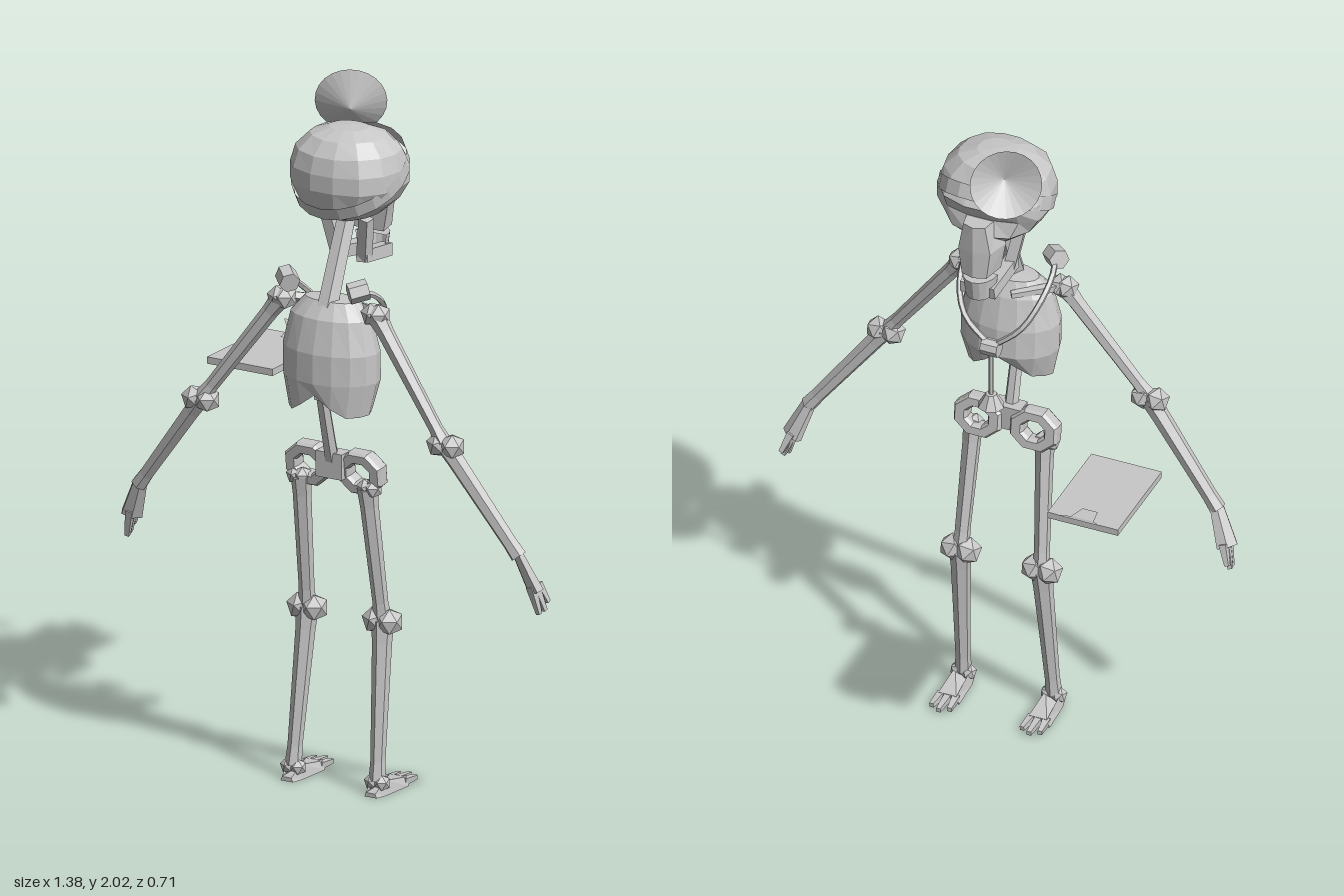
import * as THREE from 'three';

const bone = new THREE.MeshStandardMaterial({ color: 0xc8c8c8, flatShading: true, side: THREE.DoubleSide });
bone.name = 'bone grey';
const V = (p) => new THREE.Vector3(...p);
const flip = (p, s) => [p[0] * s, p[1], p[2]];

export function createModel() {
  const model = new THREE.Group();
  model.name = 'skeletonDoctor';

  const add = (name, geo, pos = [0, 0, 0], rot = [0, 0, 0]) => {
    const m = new THREE.Mesh(geo, bone);
    m.name = name;
    m.position.set(...pos);
    m.rotation.set(...rot);
    model.add(m);
    return m;
  };

  // Tapered bar from a to b; flare widens both ends
  const bar = (name, a, b, r0, r1, sides = 6, flare = 1) => {
    const A = V(a), B = V(b), L = A.distanceTo(B), rm = (r0 + r1) / 2;
    const pts = flare === 1
      ? [[0, 0], [r0, 0], [r1, L], [0, L]]
      : [[0, 0], [r0 * flare, 0], [r0, L * 0.14], [rm, L * 0.5], [r1, L * 0.88], [r1 * flare, L], [0, L]];
    const geo = new THREE.LatheGeometry(pts.map((p) => new THREE.Vector2(...p)), sides);
    geo.rotateY(Math.PI / sides);
    const m = add(name, geo, a);
    m.quaternion.setFromUnitVectors(new THREE.Vector3(0, 1, 0), B.sub(A).normalize());
    return m;
  };

  // Joint made of two knobs beside each other
  const joint = (name, c, r, gap) => {
    for (const k of [-1, 1]) {
      add(name, new THREE.IcosahedronGeometry(r, 0), [c[0] + k * gap, c[1], c[2]], [0.3, 0.2 * k, 0.4 * k]);
    }
  };

  // Cranium: rounded block with shallow eye sockets and a narrower base
  const skull = new THREE.SphereGeometry(1, 14, 9);
  const sp = skull.attributes.position;
  for (let i = 0; i < sp.count; i++) {
    const d = new THREE.Vector3().fromBufferAttribute(sp, i);
    const k = Math.pow(Math.abs(d.x) ** 2.5 + Math.abs(d.y) ** 2.5 + Math.abs(d.z) ** 2.5, -1 / 2.5);
    const p = d.clone().multiplyScalar(k);
    if (p.y < -0.2) p.x *= 1 + 0.3 * (p.y + 0.2);
    if (p.z < 0 && p.y > 0.3) p.z *= 0.85;
    const eye = Math.hypot(Math.abs(d.x) - 0.42, d.y + 0.25);
    if (d.z < 0 && eye < 0.24) p.z *= 0.8;
    sp.setXYZ(i, p.x * 0.163, 1.775 + p.y * 0.135, 0.158 + p.z * 0.152);
  }
  add('cranium', skull);

  // Upper jaw, narrowing toward the teeth
  const face = new THREE.BoxGeometry(0.13, 0.17, 0.08, 2, 2, 1);
  const fp = face.attributes.position;
  for (let i = 0; i < fp.count; i++) {
    const t = fp.getY(i) / 0.17 + 0.5;
    const front = fp.getZ(i) < 0 ? 0.72 : 1;
    fp.setX(i, fp.getX(i) * front * (t > 0.9 ? 0.7 : 0.8 + t * 0.45));
    if (Math.abs(fp.getX(i)) > 0.01 && fp.getZ(i) < 0) fp.setZ(i, fp.getZ(i) + 0.012);
  }
  add('upperJaw', face, [0, 1.665, 0.025]);

  // Lower jaw
  const chin = new THREE.CylinderGeometry(0.05, 0.042, 0.065, 8, 1, false, Math.PI / 2, Math.PI);
  chin.scale(1, 1, 1.3);
  add('chin', chin, [0, 1.532, 0.048]);
  for (const s of [-1, 1]) {
    bar('jawRamus', flip([0.064, 1.65, 0.175], s), flip([0.042, 1.525, 0.15], s), 0.022, 0.023, 4);
    bar('jawBody', flip([0.044, 1.535, 0.165], s), flip([0.034, 1.515, 0.02], s), 0.025, 0.026, 4);
  }

  // Headband tilted around the skull, with the head mirror
  const band = new THREE.CylinderGeometry(1, 1, 0.042, 20, 1, true);
  band.scale(0.164, 1, 0.174);
  add('headBand', band, [0, 1.772, 0.155], [0.5, 0, 0]);
  const axis = new THREE.Vector3(0.47, -0.26, 0.85).normalize();
  const mirror = new THREE.ConeGeometry(0.101, 0.048, 24, 1, true);
  mirror.translate(0, 0.014, 0);
  const disc = add('headMirror', mirror, [-0.093, 1.916, 0.003]);
  disc.quaternion.setFromUnitVectors(new THREE.Vector3(0, 1, 0), axis);

  // Spine
  bar('neck', [0, 1.67, 0.165], [0, 1.4, 0.28], 0.029, 0.033, 6);
  bar('middleSpine', [0, 1.42, 0.275], [0, 1.15, 0.315], 0.025, 0.02, 6);
  bar('lowerSpine', [0, 1.18, 0.31], [0, 0.95, 0.25], 0.018, 0.021, 6);

  // Rib cage: rings of [y, half width, centre z, half depth], arched along the lower rim
  const rings = [[1.43, 0.085, 0.25, 0.045], [1.385, 0.125, 0.255, 0.075], [1.29, 0.147, 0.254, 0.1],
    [1.205, 0.146, 0.252, 0.104], [1.13, 0.125, 0.258, 0.09]];
  const N = 16, verts = [], idx = [];
  rings.forEach(([y, w, z, d], j) => {
    for (let i = 0; i < N; i++) {
      const a = (i / N) * Math.PI * 2, c = Math.cos(a), s = Math.sin(a);
      const rim = -0.02 + 0.06 * Math.max(0, 1 - Math.abs(c) / 0.65) + 0.03 * Math.max(0, -s);
      verts.push(c * w, y + (j === 4 ? rim : 0), z + s * d);
      if (j < 4) {
        const p = j * N + i, q = j * N + (i + 1) % N;
        idx.push(p, q, p + N, q, q + N, p + N);
      }
    }
  });
  verts.push(0, 1.435, 0.25);
  for (let i = 0; i < N; i++) idx.push(rings.length * N, (i + 1) % N, i);
  const ribs = new THREE.BufferGeometry();
  ribs.setAttribute('position', new THREE.Float32BufferAttribute(verts, 3));
  ribs.setIndex(idx);
  ribs.computeVertexNormals();
  add('ribCage', ribs);

  // Pelvis: two pierced octagons joined by a block
  const ring = new THREE.Shape(), hole = new THREE.Path();
  for (let i = 0; i < 8; i++) {
    const a = (i + 0.5) * Math.PI / 4, c = Math.cos(a), s = Math.sin(a);
    ring[i ? 'lineTo' : 'moveTo'](c * 0.07, s * 0.061);
    hole[i ? 'lineTo' : 'moveTo'](c * 0.041, s * 0.036);
  }
  ring.holes.push(hole);
  const hip = new THREE.ExtrudeGeometry(ring, {
    depth: 0.03, bevelEnabled: true, bevelSize: 0.006, bevelThickness: 0.01, bevelSegments: 1 });
  add('sacrum', new THREE.BoxGeometry(0.085, 0.075, 0.05), [0, 0.945, 0.245]);

  for (const s of [-1, 1]) {
    const f = (p) => flip(p, s);
    add('hipRing', hip, f([0.085, 0.932, 0.215]), [0.12, 0, 0]);

    // Leg
    joint('hipJoint', f([0.115, 0.89, 0.24]), 0.028, 0.011);
    bar('thighBone', f([0.108, 0.89, 0.24]), f([0.122, 0.5, 0.185]), 0.026, 0.022, 6, 1.15);
    joint('knee', f([0.123, 0.49, 0.183]), 0.041, 0.022);
    bar('shinBone', f([0.123, 0.49, 0.183]), f([0.137, 0.04, 0.235]), 0.028, 0.021, 6, 1.15);
    joint('ankle', f([0.137, 0.035, 0.235]), 0.025, 0.015);

    // Foot: wedge with a low heel and three toes
    const sole = new THREE.Shape();
    [[-0.02, -0.27], [0.02, -0.27], [0.03, -0.23], [0.036, -0.125], [-0.036, -0.125], [-0.03, -0.23]]
      .forEach((p, i) => sole[i ? 'lineTo' : 'moveTo'](...p));
    const foot = new THREE.ExtrudeGeometry(sole, { depth: 0.04, bevelEnabled: false });
    foot.rotateX(-Math.PI / 2);
    const q = foot.attributes.position;
    for (let i = 0; i < q.count; i++) {
      if (q.getY(i) > 0.01) {
        const z = q.getZ(i);
        q.setY(i, z < 0.15 ? 0.025 : z > 0.25 ? 0.012 : 0.042);
        q.setX(i, q.getX(i) * 0.75);
      }
    }
    add('foot', foot, f([0.137, 0, 0]));
    for (const t of [-1, 0, 1]) {
      bar('toe', f([0.137 + t * 0.022, 0.014, 0.135]), f([0.137 + t * 0.027, 0.012, 0.062 + Math.abs(t) * 0.014]), 0.015, 0.009, 4);
    }

    // Collar bone and arm
    bar('collarBone', f([0.155, 1.415, 0.265]), f([0.03, 1.4, 0.185]), 0.017, 0.012, 5);
    joint('shoulder', f([0.153, 1.41, 0.268]), 0.036, 0.009);
    bar('upperArmBone', f([0.155, 1.41, 0.268]), f([0.395, 1.085, 0.3]), 0.024, 0.02, 6, 1.25);
    joint('elbow', f([0.4, 1.08, 0.298]), 0.038, 0.021);
    bar('forearmBone', f([0.4, 1.08, 0.298]), f([0.62, 0.785, 0.268]), 0.026, 0.022, 6, 1.1);

    // Hand: flat palm with closely set fingers
    const palm = bar('palm', f([0.615, 0.795, 0.268]), f([0.659, 0.685, 0.242]), 0.022, 0.034, 6);
    palm.scale.x = 0.65;
    [[0.672, 0.62, 0.245], [0.677, 0.625, 0.224], [0.676, 0.645, 0.206]].forEach((tip, i) => {
      bar('finger', f([0.655, 0.7, 0.26 - i * 0.017]), f(tip), 0.015, 0.009, 4);
    });

    // Stethoscope tubes over the shoulders
    const path = new THREE.CatmullRomCurve3([[0.115, 1.48, 0.3], [0.13, 1.455, 0.24], [0.122, 1.405, 0.175],
      [0.085, 1.335, 0.128], [0, 1.26, 0.115]].map((p) => V(f(p))));
    add('stethoscopeTube', new THREE.TubeGeometry(path, 12, 0.009, 5));
    add('stethoscopeEnd', new THREE.CylinderGeometry(0.03, 0.03, 0.055, 6), f([0.115, 1.48, 0.3]), [0.3, 0.8 * s, 1.57]);
  }

  // Stethoscope junction, stem and bell
  add('stethoscopeJoint', new THREE.CylinderGeometry(0.025, 0.025, 0.05, 8), [0, 1.258, 0.115], [0, 0, Math.PI / 2]);
  bar('stethoscopeStem', [0, 1.25, 0.115], [0, 1.09, 0.115], 0.007, 0.007, 5);
  add('stethoscopeBell', new THREE.CylinderGeometry(0.016, 0.039, 0.04, 8), [0, 1.08, 0.115]);

  // Clipboard with a bent clip
  add('clipboard', new THREE.BoxGeometry(0.213, 0.02, 0.303), [-0.468, 1.075, -0.168]);
  const clip = new THREE.BufferGeometry();
  clip.setAttribute('position', new THREE.Float32BufferAttribute([
    -0.065, 0.025, -0.355, 0.065, 0.025, -0.355, -0.034, 0.008, -0.322,
    0.034, 0.008, -0.322, -0.023, 0.002, -0.268, 0.023, 0.002, -0.268], 3));
  clip.setIndex([0, 2, 1, 1, 2, 3, 2, 4, 3, 3, 4, 5]);
  clip.computeVertexNormals();
  add('clipboardClip', clip, [-0.468, 1.086, 0]);

  return model;
}
